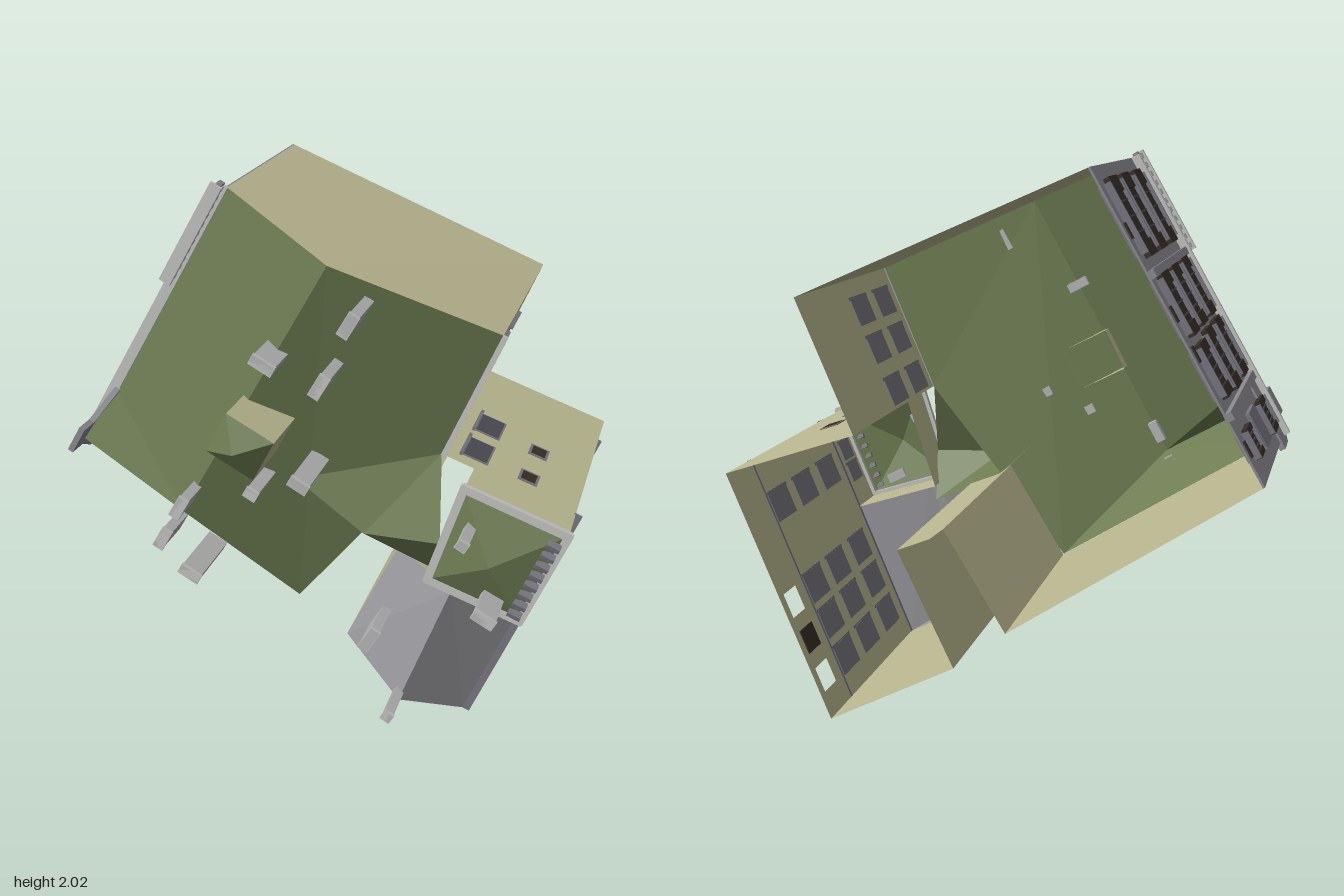
import * as THREE from 'three';

const mat = (name, color) => {
  const m = new THREE.MeshStandardMaterial({ color, side: THREE.DoubleSide });
  m.name = name;
  return m;
};

export function createModel() {
  const root = new THREE.Group();
  root.name = 'cornerBuilding';
  const olive = mat('olive plaster', 0xbbb991), green = mat('green roof', 0x6c7a50);
  const stone = mat('grey stone', 0x8a8a90), slate = mat('grey roof', 0x9b9b9f);
  const chimneyGrey = mat('chimney grey', 0xb4b4b4), trim = mat('pale trim', 0xc2c2c0);
  const glass = mat('dark glass', 0x4c4b52), frame = mat('window frame', 0x77757f);
  const brown = mat('dark brown', 0x372f27);

  // Flat face from corners, triangulated as a fan
  const face = (name, material, ...pts) => {
    const pos = [];
    for (let i = 1; i < pts.length - 1; i++) pos.push(...pts[0], ...pts[i], ...pts[i + 1]);
    const g = new THREE.BufferGeometry();
    g.setAttribute('position', new THREE.Float32BufferAttribute(pos, 3));
    g.computeVertexNormals();
    const mesh = new THREE.Mesh(g, material);
    mesh.name = name;
    root.add(mesh);
  };
  // Wall from plan point p to q, between depths
  const wall = (name, p, q, lowP = -0.66, lowQ = -0.66, top = 0.2, material = olive) =>
    face(name, material, [...p, lowP], [...q, lowQ], [...q, top], [...p, top]);
  const at = (p, z) => [p[0], p[1], z];

  // Group with x along a wall, y up the wall, z outward
  const wallFrame = (name, p, q) => {
    const d = new THREE.Vector3(q[0] - p[0], q[1] - p[1], 0);
    const g = new THREE.Group();
    g.name = name;
    g.userData.length = d.length();
    d.normalize();
    g.quaternion.setFromRotationMatrix(new THREE.Matrix4().makeBasis(
      d, new THREE.Vector3(0, 0, 1), new THREE.Vector3(d.y, -d.x, 0)));
    g.position.set(p[0], p[1], 0);
    root.add(g);
    return g;
  };
  const box = (parent, name, material, w, h, d, x, y, z, turn = 0) => {
    const m = new THREE.Mesh(new THREE.BoxGeometry(w, h, d), material);
    m.name = name;
    m.position.set(x, y, z);
    m.rotation.z = turn;
    parent.add(m);
    return m;
  };
  const plainWindow = (g, x, y, w = 0.1, h = 0.14) => {
    box(g, 'windowFrame', frame, w + 0.014, h + 0.014, 0.008, x, y, 0);
    box(g, 'windowGlass', glass, w, h, 0.0098, x, y, 0.001);
    box(g, 'windowSill', frame, 0.012, h + 0.03, 0.018, x + w / 2 + 0.008, y, 0.006);
  };

  // Plan corners, counterclockwise
  const H = [0.58, 0.01], E = [0.95, 0.91], C = [0.46, 1.08], B = [0.66, 1.55], A = [-0.33, 1.99];
  const F = [-0.93, 0.96], G = [-0.08, 0.41], I = [0.14, 0.77], K = [0.19, 0.73], W = [0.31, 0.68];
  const J = [0.11, 0.26], S = [0.8, 0.545], Q1 = [0.58, 1.04], Q2 = [0.46, 0.66], D = [-0.81, 1.18];

  // Walls, open underneath
  wall('eastReturnWall', E, C);
  wall('eastUpperWall', C, B);
  face('northWall', olive, at(B, -0.66), at(A, -0.53), at(A, 0.2), [0.1, 1.81, 0.42], at(B, 0.2));
  wall('southWall', F, G, -0.53, -0.66);
  [[G, I], [I, K], [K, W], [W, J], [J, H]].forEach(([p, q]) => wall('courtyardWall', p, q));

  // East wall with two openings
  const east = wallFrame('eastWall', H, E), len = east.userData.length;
  const rect = (Type, x0, y0, x1, y1) => new Type([[x0, y0], [x1, y0], [x1, y1], [x0, y1]]
    .map(([x, y]) => new THREE.Vector2(x, y)));
  const along = (y) => (y - 0.01) * len / 0.9;
  const shape = rect(THREE.Shape, 0, -0.66, len, 0.2);
  for (const y of [0.14, 0.415]) {
    shape.holes.push(rect(THREE.Path, along(y) - 0.047, -0.625, along(y) + 0.047, -0.525));
  }
  const panel = new THREE.Mesh(new THREE.ShapeGeometry(shape), olive);
  panel.name = 'eastWallPanel';
  east.add(panel);
  for (const y of [0.14, 0.28, 0.415, 0.725])
    for (const z of [0.06, -0.165, -0.38]) plainWindow(east, along(y), z);
  box(east, 'darkDoor', brown, 0.09, 0.1, 0.009, along(0.28), -0.575, 0);
  box(east, 'wallBand', frame, len, 0.01, 0.016, len / 2, -0.465, 0.006);
  box(east, 'gutter', frame, len, 0.014, 0.03, len / 2, 0.195, 0.01);

  // Upper east wall and its return
  const upper = wallFrame('upperEastWindows', C, B);
  for (const y of [1.14, 1.295, 1.435])
    for (const z of [0.06, -0.165]) plainWindow(upper, (y - 1.08) * 1.087, z, 0.092);
  box(upper, 'gutter', trim, 0.51, 0.02, 0.02, 0.255, 0.2, 0.008);
  const back = wallFrame('returnWallWindows', E, C);
  for (const z of [0.06, -0.165]) plainWindow(back, 0.405, z, 0.09);
  for (const z of [0.09, -0.135]) {
    box(back, 'smallWindowFrame', frame, 0.075, 0.085, 0.008, 0.2, z, 0);
    box(back, 'smallWindow', brown, 0.055, 0.062, 0.0098, 0.2, z, 0.001);
  }

  // Street facade
  const street = wallFrame('streetFacade', A, F), sl = street.userData.length;
  box(street, 'facadeWall', stone, sl, 0.73, 0.008, sl / 2, -0.165, 0);
  const shutterWindow = (x, y, w, h = 0.165) => {
    box(street, 'windowOpening', brown, w * 0.8, h, 0.03, x, y, 0);
    for (const s of [-1, 1]) {
      box(street, 'shutter', brown, w * 0.2, h * 0.8, 0.044, x + s * w * 0.41, y, 0.004);
      box(street, 'ledge', frame, w * 0.9, 0.01, 0.05, x, y + s * (h / 2 + 0.006), 0.004);
    }
    for (const s of [-0.2, 0, 0.2])
      box(street, 'windowBar', glass, 0.006, h, 0.036, x + s * w, y, 0);
  };
  for (const z of [-0.385, -0.175, 0.055]) {
    shutterWindow(0.2, z, 0.29);
    shutterWindow(0.53, z, 0.23);
    shutterWindow(0.78, z, z < -0.3 ? 0.2 : 0.23);
  }
  shutterWindow(1.07, 0.055, 0.13);
  shutterWindow(1.06, -0.385, 0.11, 0.13);
  box(street, 'bayPanel', frame, 0.14, 0.16, 0.03, 1.06, -0.165, 0.004);
  for (const x of [0.24, 0.55, 0.7, 1.06])
    box(street, 'cellarWindow', brown, 0.06, 0.025, 0.02, x, -0.49, 0);
  for (const x of [0.4, 0.93]) box(street, 'pilaster', stone, 0.03, 0.73, 0.03, x, -0.165, 0.01);
  box(street, 'cornice', trim, sl, 0.02, 0.04, sl / 2, 0.2, 0.015);
  box(street, 'balustradeRail', trim, 0.42, 0.016, 0.045, 0.2, 0.262, 0.022);
  box(street, 'balustradeBase', stone, 0.42, 0.03, 0.02, 0.2, 0.215, 0.022);
  for (let i = 0; i < 11; i++) box(street, 'baluster', trim, 0.02, 0.06, 0.03, 0.01 + i * 0.038, 0.23, 0.022);

  // Bay gable with slit windows
  const gable = new THREE.Shape([[0.92, 0.08], [1.22, 0.08], [1.22, 0.2], [1.14, 0.34], [1.14, 0.42],
    [1.03, 0.42], [1.03, 0.34], [0.92, 0.2]].map(([x, y]) => new THREE.Vector2(x, y)));
  const gableMesh = new THREE.Mesh(new THREE.ExtrudeGeometry(gable, { depth: 0.022, bevelEnabled: false }), stone);
  gableMesh.name = 'bayGable';
  gableMesh.position.z = -0.01;
  street.add(gableMesh);
  for (const x of [1.04, 1.08, 1.12]) box(street, 'gableSlit', brown, 0.02, 0.08, 0.03, x, 0.225, 0);

  // Main roof
  const R = [0.1, 1.81, 0.42], P = [-0.46, 0.82, 0.42], N = [-0.85, 1.055, 0.4];
  face('westRoof', green, at(A, 0.2), at(D, 0.2), P, R);
  face('eastRoof', green, R, P, at(G, 0.21), at(C, 0.19), at(B, 0.2));
  face('southHip', green, P, at(F, 0.2), at(G, 0.21));
  face('bayRoofNorth', green, N, at(D, 0.2), P);
  face('bayRoofSouth', green, N, P, at(F, 0.2));

  // Connecting roof
  const T = [-0.05, 0.97, 0.33], X = [0.21, 0.79, 0.34], Y = [0.49, 0.78, 0.32];
  face('linkRoofNorth', green, T, X, at(C, 0.2));
  face('linkRoofWest', green, T, at(I, 0.2), at(K, 0.2), X);
  face('linkRoofEast', green, X, Y, at(C, 0.2));
  face('linkRoofSouth', green, X, at(K, 0.2), [0.46, 0.6, 0.2], Y);

  // Grey wing roof
  const U = [0.365, 0.125, 0.38], V = [0.55, 0.63, 0.38];
  face('wingRoofWest', slate, at(J, 0.2), U, V, at(W, 0.2));
  face('wingRoofEast', slate, at(H, 0.2), at(S, 0.2), V, U);
  face('wingGable', slate, at(J, 0.2), at(H, 0.2), U);

  // Raised corner block with shallow hipped roof
  const ring = [S, E, Q1, Q2];
  ring.forEach((p, i) => {
    const q = ring[(i + 1) % 4];
    wall('cornerBlockWall', p, q, 0.19, 0.19, 0.37);
    face('cornerBlockRoof', green, at(p, 0.37), at(q, 0.37), [0.69, 0.78, 0.445]);
    const g = wallFrame('cornerBlockTrim', p, q), l = g.userData.length;
    box(g, 'eavesTrim', trim, l + 0.02, 0.02, 0.03, l / 2, 0.37, 0);
    if (i === 0) {
      for (const x of [0.14, 0.235]) plainWindow(g, x, 0.285, 0.065, 0.085);
      for (let k = 0; k < 8; k++) box(g, 'eavesBracket', frame, 0.018, 0.03, 0.05, 0.03 + k * 0.045, 0.395, -0.03, 0.3);
    }
  });

  // Roof lantern
  const lantern = [[-0.12, 1.07], [-0.04, 1.22], [-0.21, 1.31], [-0.29, 1.16]];
  lantern.forEach((p, i) => {
    const q = lantern[(i + 1) % 4];
    wall('lanternWall', p, q, 0.35, 0.35, 0.58);
    face('lanternRoof', green, at(p, 0.58), at(q, 0.58), [-0.165, 1.19, 0.655]);
  });

  // Chimneys: x, y, bottom, top, length, turn
  const a = 1.05, b = -0.5;
  for (const [x, y, z0, z1, l, turn] of [
    [0.21, 1.655, 0.36, 0.55, 0.085, a], [0.11, 1.43, 0.38, 0.55, 0.085, a],
    [-0.09, 1.485, 0.38, 0.55, 0.085, b], [0.03, 1.05, 0.3, 0.54, 0.07, b],
    [-0.15, 0.985, 0.34, 0.53, 0.045, b], [-0.42, 0.9, 0.38, 0.55, 0.085, a],
    [-0.49, 0.765, 0.38, 0.55, 0.085, a], [-0.39, 0.635, 0.28, 0.55, 0.08, b],
    [0.27, 0.425, 0.3, 0.47, 0.1, a], [0.36, 0.15, 0.36, 0.535, 0.035, b],
    [0.61, 0.9, 0.38, 0.53, 0.035, a], [0.7, 0.635, 0.38, 0.55, 0.08, b]]) {
    box(root, 'chimney', chimneyGrey, l, 0.036, z1 - z0, x, y, (z0 + z1) / 2, turn);
    box(root, 'chimneyCap', trim, l + 0.006, 0.042, 0.012, x, y, z1 - 0.006, turn);
  }
  return root;
}
